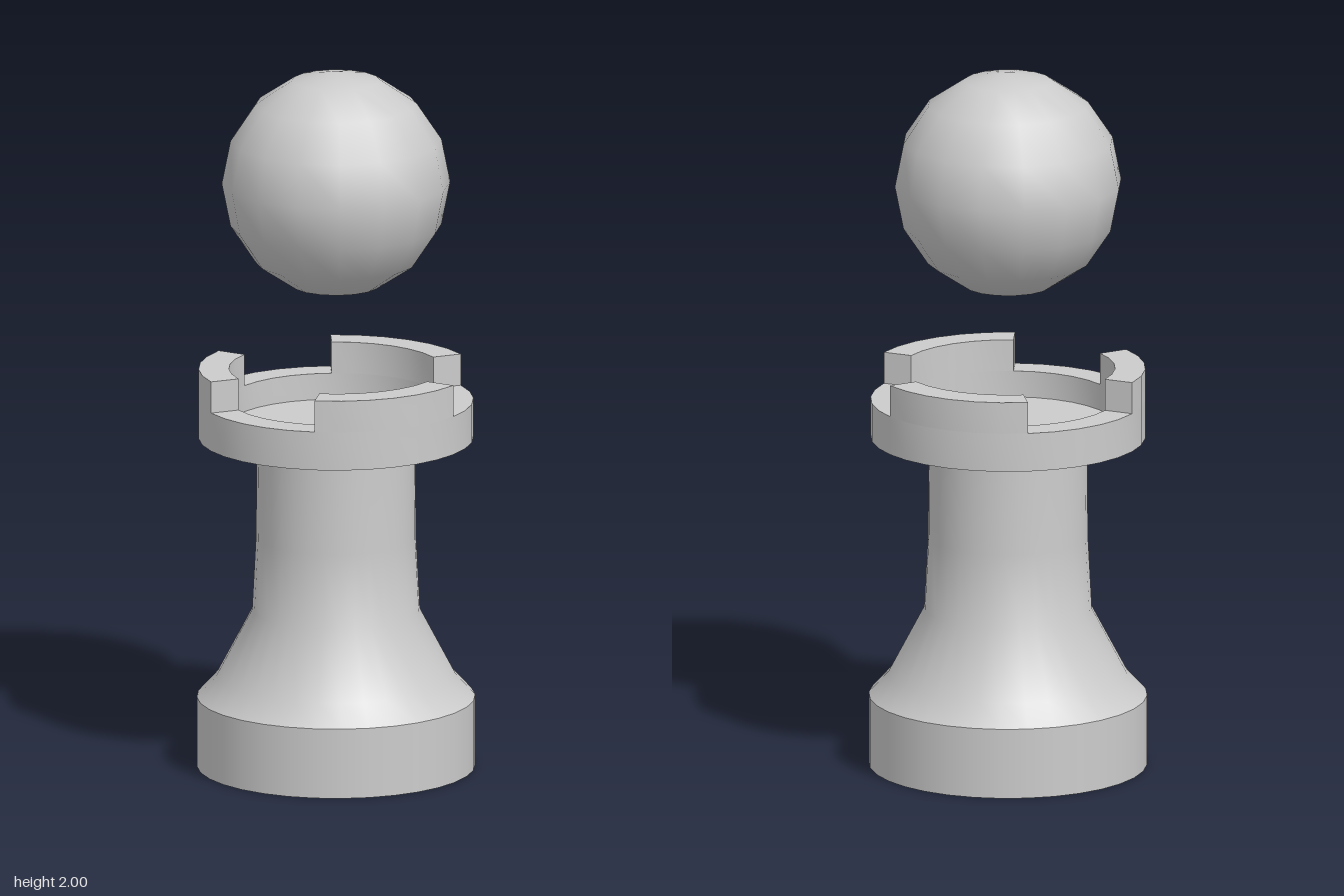
import * as THREE from 'three';
import { toCreasedNormals } from 'three/addons/utils/BufferGeometryUtils.js';

const SIDES = 32;
const STEP = (Math.PI * 2) / SIDES;

export function createModel() {
  const model = new THREE.Group();
  model.name = 'towerPiece';
  const material = new THREE.MeshStandardMaterial({ color: 0xcccccc });

  const add = (name, geometry) => {
    const mesh = new THREE.Mesh(geometry, material);
    mesh.name = name;
    model.add(mesh);
    return mesh;
  };
  const lathe = (profile) =>
    new THREE.LatheGeometry(profile.map(([r, y]) => new THREE.Vector2(r, y)), SIDES);

  // Round foot
  add('base', new THREE.CylinderGeometry(0.39, 0.39, 0.2, SIDES)).position.y = 0.1;

  // Flared column, smooth along its height
  add('column', lathe([[0.39, 0.2], [0.335, 0.26], [0.235, 0.45], [0.224, 0.66], [0.222, 0.925]]));

  // Platform with a sloping underside and a round recess
  add('platform', toCreasedNormals(lathe([
    [0, 0.92], [0.222, 0.92], [0.385, 0.945], [0.385, 1.055],
    [0.3, 1.055], [0.3, 0.98], [0, 0.98],
  ]), Math.PI / 6));

  // Battlements: arcs of the rim, counted in sides of the circle from +x towards +z
  const battlement = (from, to) => {
    const points = [];
    const put = (r, i) => points.push(new THREE.Vector2(r * Math.cos(i * STEP), r * Math.sin(i * STEP)));
    for (let i = from; i <= to; i++) put(0.385, i);
    for (let i = to; i >= from; i--) put(0.3, i);
    const geometry = new THREE.ExtrudeGeometry(new THREE.Shape(points), { depth: 0.09, bevelEnabled: false });
    geometry.rotateX(Math.PI / 2).translate(0, 1.145, 0);
    return toCreasedNormals(geometry, Math.PI / 6);
  };
  [[5, 11], [16, 21], [26, 32]].forEach(([from, to], i) => add(`battlement${i + 1}`, battlement(from, to)));

  // Ball floating above the tower
  add('ball', new THREE.SphereGeometry(0.32, 16, 8)).position.y = 1.68;

  return model;
}
